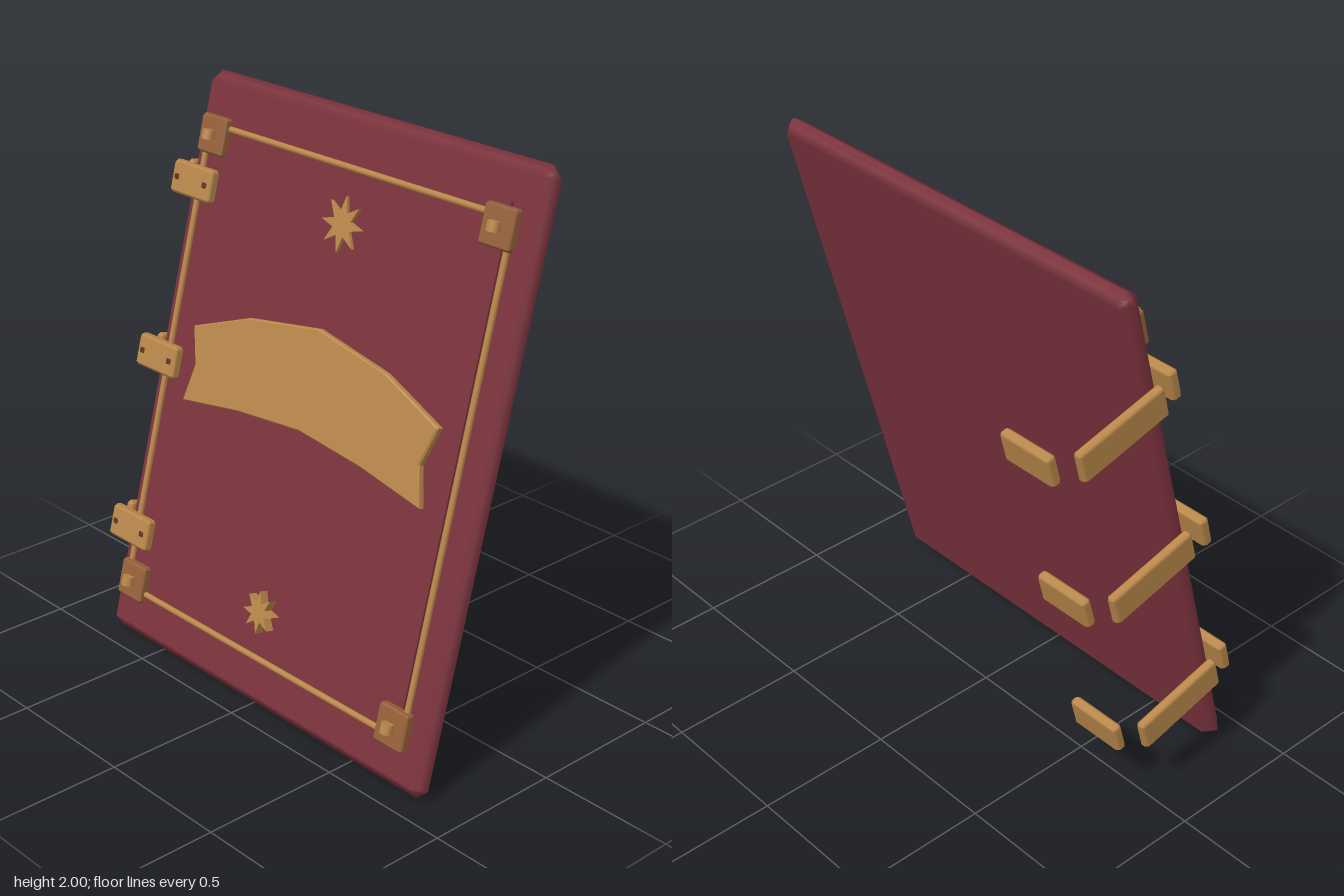
import * as THREE from 'three';

const mat = (name, color) => Object.assign(new THREE.MeshStandardMaterial({ color }), { name });

// Box with 45 degree chamfers, flat faces and smoothly shaded edges
function chamferBox(w, h, d, b) {
  const g = new THREE.BoxGeometry(1, 1, 1, 3, 3, 3);
  const p = g.attributes.position, nrm = g.attributes.normal;
  const half = [w / 2 - b, h / 2 - b, d / 2 - b];
  for (let i = 0; i < p.count; i++) {
    const c = [p.getX(i), p.getY(i), p.getZ(i)];
    const n = c.map(v => (Math.abs(v) > 0.4 ? Math.sign(v) : 0));
    const sum = n.reduce((a, v) => a + Math.abs(v), 0);
    p.setXYZ(i, ...c.map((v, k) => Math.sign(v) * half[k] + (n[k] * b) / sum));
    const len = Math.sqrt(sum);
    nrm.setXYZ(i, ...n.map(v => v / len));
  }
  return g;
}

function starShape(points, outer, inner, turn) {
  const pts = [];
  for (let i = 0; i < points * 2; i++) {
    const a = (i * Math.PI) / points + Math.PI / 2 + turn;
    const r = i % 2 ? inner : outer;
    pts.push(new THREE.Vector2(Math.cos(a) * r, Math.sin(a) * r));
  }
  return new THREE.Shape(pts);
}

export function createModel() {
  const leather = mat('burgundy leather', 0x7b323c);
  const brass = mat('brass', 0xb9874a);
  const copper = mat('copper', 0x95603a);
  const dark = mat('dark rivet', 0x5a3420);

  const model = new THREE.Group();
  model.name = 'bookCover';
  // Everything is laid out on an upright board, then leaned back
  const board = new THREE.Group();
  board.name = 'leaningCover';
  board.position.set(0, 1, 0.1275);
  board.rotation.x = -Math.PI / 12;
  model.add(board);

  const add = (name, geo, material, x, y, z, parent = board) => {
    const m = new THREE.Mesh(geo, material);
    m.name = name;
    m.position.set(x, y, z);
    parent.add(m);
    return m;
  };
  const CX = 0.026;

  // Cover board and its slightly raised panel
  add('coverBoard', chamferBox(1.63, 2.07, 0.082, 0.04), leather, CX, 0, 0);
  add('raisedPanel', new THREE.BoxGeometry(1.37, 1.785, 0.02), leather, CX, 0.005, 0.041);

  // Thin border rails
  for (const s of [-1, 1]) {
    const across = add('borderRail', new THREE.CylinderGeometry(0.011, 0.011, 1.434, 8), brass, CX, s * 0.852, 0.064);
    across.rotation.z = Math.PI / 2;
    add('borderRail', new THREE.CylinderGeometry(0.011, 0.011, 1.704, 8), brass, CX + s * 0.717, 0, 0.064);
  }

  // Corner plates with round studs
  for (const sx of [-1, 1]) for (const sy of [-1, 1]) {
    const corner = new THREE.Group();
    corner.name = 'cornerMount';
    corner.position.set(CX + sx * 0.677, sy * 0.819, 0);
    board.add(corner);
    add('cornerPlate', chamferBox(0.135, 0.135, 0.038, 0.01), copper, 0, 0, 0.07, corner);
    add('cornerStud', new THREE.CylinderGeometry(0.023, 0.023, 0.034, 12), brass, 0, 0, 0.1, corner);
  }

  // Three clasps: front plate with rivets, side strap, rear plate
  [[0.642, -0.713], [0.003, -0.733], [-0.638, -0.713]].forEach(([y, px]) => {
    const clasp = new THREE.Group();
    clasp.name = 'clasp';
    clasp.position.y = y;
    board.add(clasp);
    add('claspFrontPlate', chamferBox(0.215, 0.118, 0.042, 0.012), brass, px, 0, 0.07, clasp);
    for (const s of [-1, 1]) {
      add('claspRivet', chamferBox(0.026, 0.022, 0.012, 0.004), dark, px + s * 0.075, 0, 0.088, clasp);
    }
    add('claspStrap', chamferBox(0.038, 0.12, 0.365, 0.012), brass, -0.826, 0, -0.172, clasp);
    add('claspRearPlate', chamferBox(0.215, 0.12, 0.04, 0.012), brass, -0.672, 0, -0.405, clasp);
  });

  // Arched ribbon with notched ends
  const ribbon = new THREE.Shape([
    [-0.578, 0.157], [-0.536, 0.028], [-0.567, -0.112], [-0.28, -0.067], [0.03, -0.04], [0.334, -0.067],
    [0.62, -0.112], [0.584, 0.02], [0.631, 0.157], [0.366, 0.257], [0.03, 0.312], [-0.308, 0.257],
  ].map(([x, y]) => new THREE.Vector2(x, y)));
  add('ribbon', new THREE.ExtrudeGeometry(ribbon, {
    depth: 0.018, bevelThickness: 0.006, bevelSize: 0.005, bevelOffset: -0.005, bevelSegments: 1,
  }), brass, 0, 0, 0.052);

  // Eight-pointed stars
  add('upperStar', new THREE.ExtrudeGeometry(starShape(8, 0.095, 0.042, 0), {
    depth: 0.016, bevelEnabled: false,
  }), brass, 0.03, 0.665, 0.048);
  add('lowerStar', new THREE.ExtrudeGeometry(starShape(8, 0.074, 0.034, 0.1), {
    depth: 0.036, bevelEnabled: false,
  }), brass, 0.015, -0.69, 0.048);

  return model;
}
